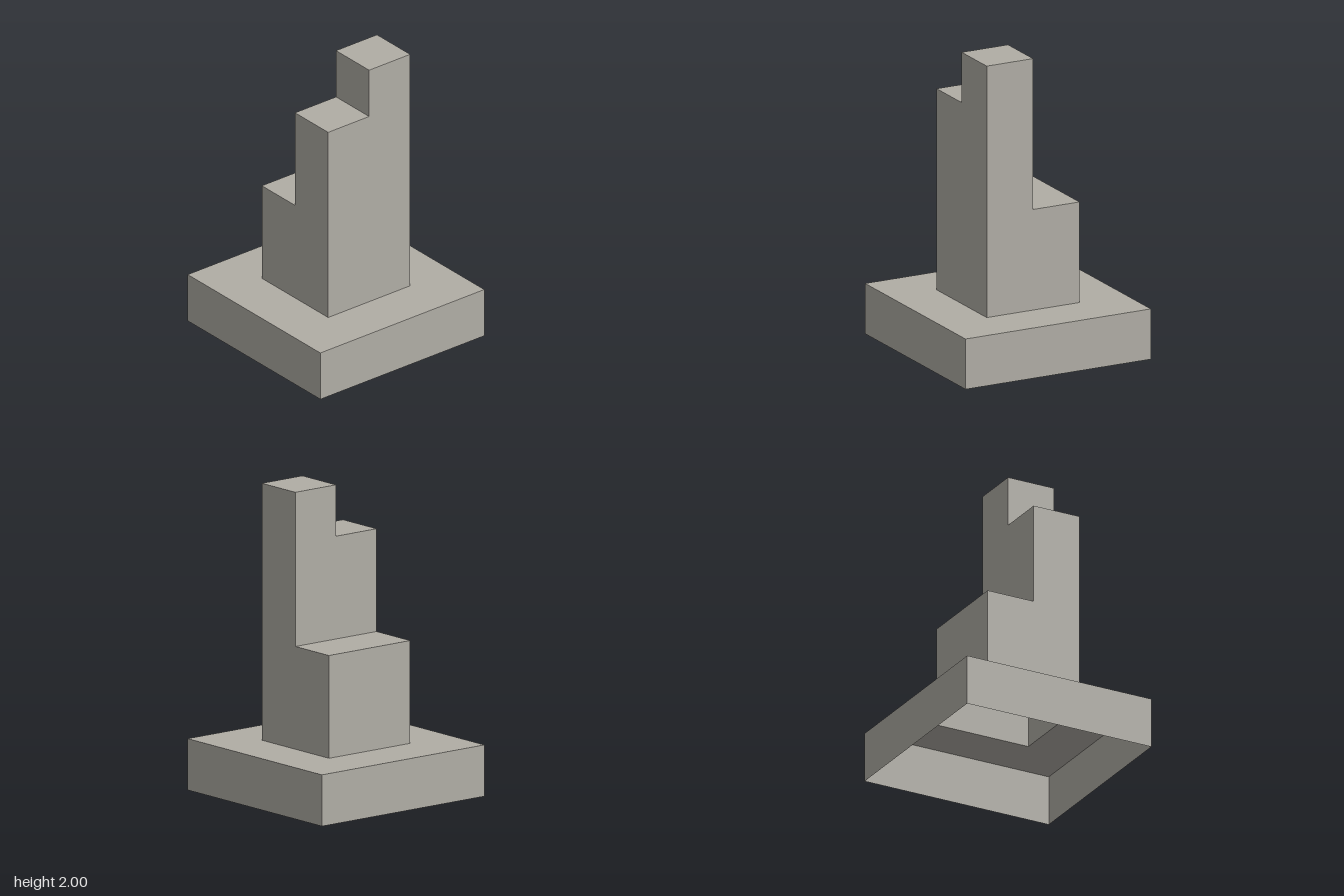
import * as THREE from 'three';

const B = 2 / 3; // half width of the plinth
const T = 1 / 3; // half width of the tower, and plinth height
const LOW = 1, MID = 5 / 3, HIGH = 2; // step heights

const rect = (u0, v0, u1, v1) => [[u0, v0], [u1, v0], [u1, v1], [u0, v1]];

export function createModel() {
  const stone = new THREE.MeshStandardMaterial({ color: 0xb0ada5, side: THREE.DoubleSide });
  stone.name = 'warm grey stone';
  const model = new THREE.Group();
  model.name = 'steppedMonument';

  const group = (name) => {
    const g = new THREE.Group();
    g.name = name;
    model.add(g);
    return g;
  };

  // Flat outline turned to face a direction, then pushed along it
  const panel = (parent, name, points, facing, distance, hole) => {
    const toVectors = (list) => list.map(([u, v]) => new THREE.Vector2(u, v));
    const shape = new THREE.Shape(toVectors(points));
    if (hole) shape.holes.push(new THREE.Path(toVectors(hole)));
    const geometry = new THREE.ShapeGeometry(shape);
    geometry.translate(0, 0, distance);
    if (facing === 'up') geometry.rotateX(-Math.PI / 2);
    else geometry.rotateY({ front: 0, left: 1, back: 2, right: -1 }[facing] * Math.PI / 2);
    const mesh = new THREE.Mesh(geometry, stone);
    mesh.name = name;
    parent.add(mesh);
  };

  // Plinth: open underneath, with an opening below the tower
  const plinth = group('plinth');
  for (const side of ['front', 'left', 'back', 'right']) {
    panel(plinth, side + 'PlinthWall', rect(-B, 0, B, T), side, B);
  }
  panel(plinth, 'plinthTop', rect(-B, -B, B, B), 'up', T, rect(-T, -T, T, T));

  // Hollow tower: outer walls with stepped outlines
  const tower = group('tower');
  panel(tower, 'frontWall', [[-T, T], [T, T], [T, HIGH], [0, HIGH], [0, MID], [-T, MID]], 'front', T);
  panel(tower, 'leftWall', [[-T, T], [T, T], [T, LOW], [0, LOW], [0, HIGH], [-T, HIGH]], 'left', T);
  panel(tower, 'rightWall', [[-T, T], [T, T], [T, MID], [0, MID], [0, LOW], [-T, LOW]], 'right', T);
  panel(tower, 'backWall', rect(-T, T, T, LOW), 'back', T);

  // Inner risers between the steps
  panel(tower, 'backRiser', [[-T, LOW], [T, LOW], [T, MID], [0, MID], [0, HIGH], [-T, HIGH]], 'back', 0);
  panel(tower, 'topRiser', rect(0, MID, T, HIGH), 'right', 0);

  // Step tops
  panel(tower, 'lowStepTop', rect(-T, 0, T, T), 'up', LOW);
  panel(tower, 'middleStepTop', rect(-T, -T, 0, 0), 'up', MID);
  panel(tower, 'highStepTop', rect(0, -T, T, 0), 'up', HIGH);

  return model;
}
